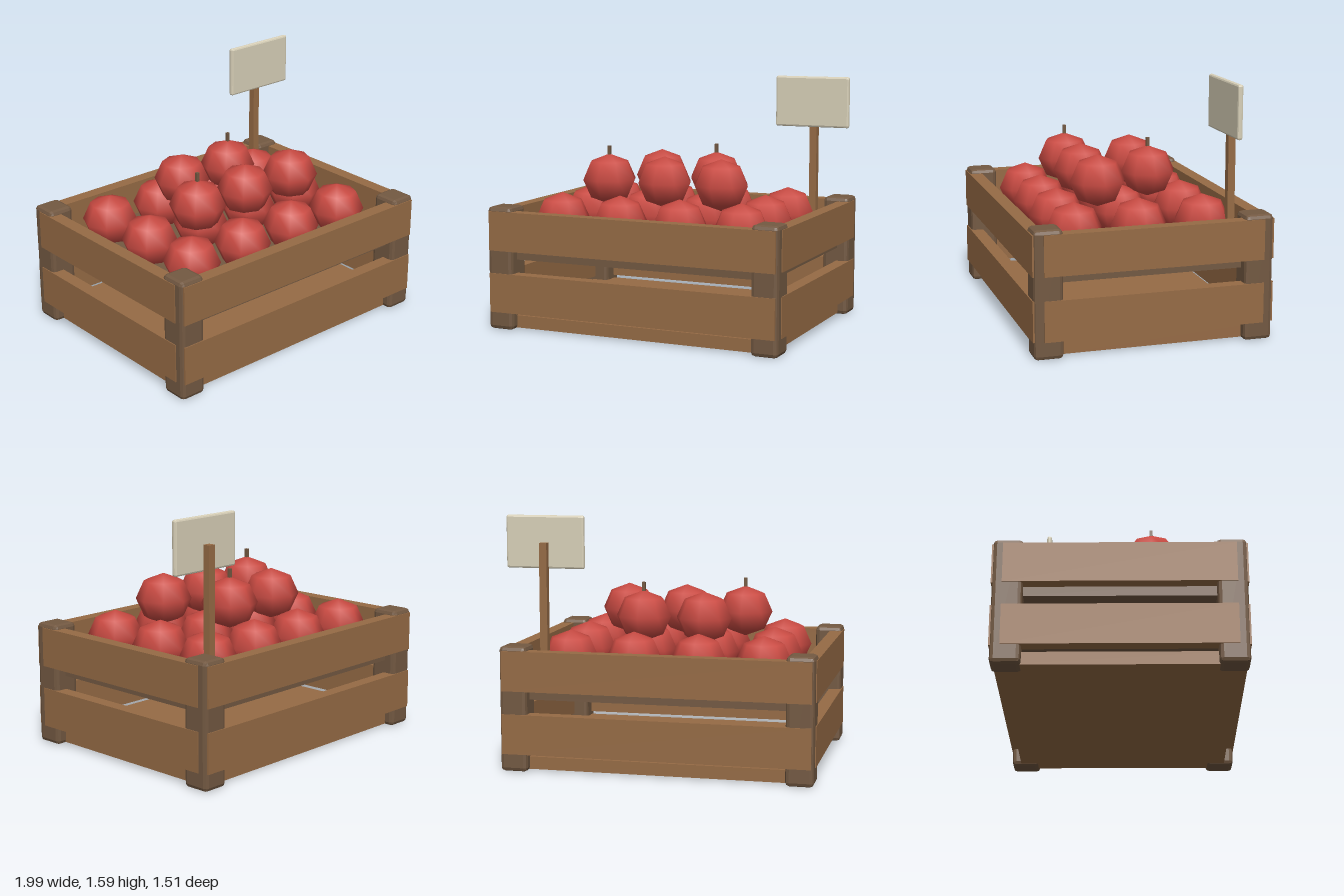
import * as THREE from 'three';
import { RoundedBoxGeometry } from 'three/addons/geometries/RoundedBoxGeometry.js';

const wood = new THREE.MeshStandardMaterial({ color: 0x966b45, flatShading: true });
const darkWood = new THREE.MeshStandardMaterial({ color: 0x735942, flatShading: true });
const board = new THREE.MeshStandardMaterial({ color: 0xd8d0b8, flatShading: true });
const red = new THREE.MeshStandardMaterial({ color: 0xc94a42 });

export function createModel() {
  const model = new THREE.Group();
  model.name = 'fruitCrate';

  function add(parent, name, geometry, material, x, y, z) {
    const mesh = new THREE.Mesh(geometry, material);
    mesh.name = name;
    mesh.position.set(x, y, z);
    parent.add(mesh);
    return mesh;
  }

  // Crate: base, raised shelf, chamfered corner posts and two rows of slats
  const crate = new THREE.Group();
  crate.name = 'crate';
  crate.position.x = -0.005;
  model.add(crate);

  add(crate, 'base', new THREE.BoxGeometry(1.84, 0.08, 1.38), wood, 0, 0.05, 0);
  add(crate, 'shelf', new THREE.BoxGeometry(1.82, 0.08, 1.36), darkWood, 0, 0.49, 0);

  const postGeometry = new RoundedBoxGeometry(0.174, 0.79, 0.18, 1, 0.025);
  const longSlat = new THREE.BoxGeometry(1.94, 0.252, 0.085);
  const sideSlat = new THREE.BoxGeometry(0.085, 0.252, 1.38);
  for (const s of [-1, 1]) {
    for (const t of [-1, 1]) {
      add(crate, 'cornerPost', postGeometry, darkWood, s * 0.898, 0.395, t * 0.66);
    }
    for (const y of [0.238, 0.636]) {
      add(crate, s > 0 ? 'frontSlat' : 'backSlat', longSlat, wood, 0, y, s * 0.714);
      add(crate, s > 0 ? 'leftSlat' : 'rightSlat', sideSlat, wood, s * 0.948, y, 0);
    }
  }

  // Fruit: a full lower layer and a smaller staggered heap on top
  const fruit = new THREE.Group();
  fruit.name = 'fruitPile';
  model.add(fruit);
  const fruitGeometry = new THREE.SphereGeometry(0.179, 8, 4).scale(1, 0.92, 1);
  const stemGeometry = new THREE.BoxGeometry(0.02, 0.09, 0.02);

  for (const z of [-0.418, -0.004, 0.41]) {
    for (let i = 0; i < 4; i++) {
      add(fruit, 'lowerFruit', fruitGeometry, red, -0.63 + i * 0.414, 0.697, z);
    }
  }
  const upper = [
    [-0.205, -0.2, false], [0.19, -0.2, true],
    [-0.4, 0.193, true], [-0.005, 0.193, false], [0.388, 0.193, false],
  ];
  for (const [x, z, hasStem] of upper) {
    add(fruit, 'upperFruit', fruitGeometry, red, x, 0.935, z);
    if (hasStem) add(fruit, 'stem', stemGeometry, darkWood, x, 1.107, z);
  }

  // Price sign: a thin board in front of a wooden stake
  const sign = new THREE.Group();
  sign.name = 'sign';
  model.add(sign);
  add(sign, 'signStake', new THREE.BoxGeometry(0.048, 0.92, 0.046), wood, 0.742, 0.96, -0.552);
  add(sign, 'signBoard', new RoundedBoxGeometry(0.506, 0.332, 0.034, 1, 0.012), board, 0.742, 1.424, -0.513);

  return model;
}
